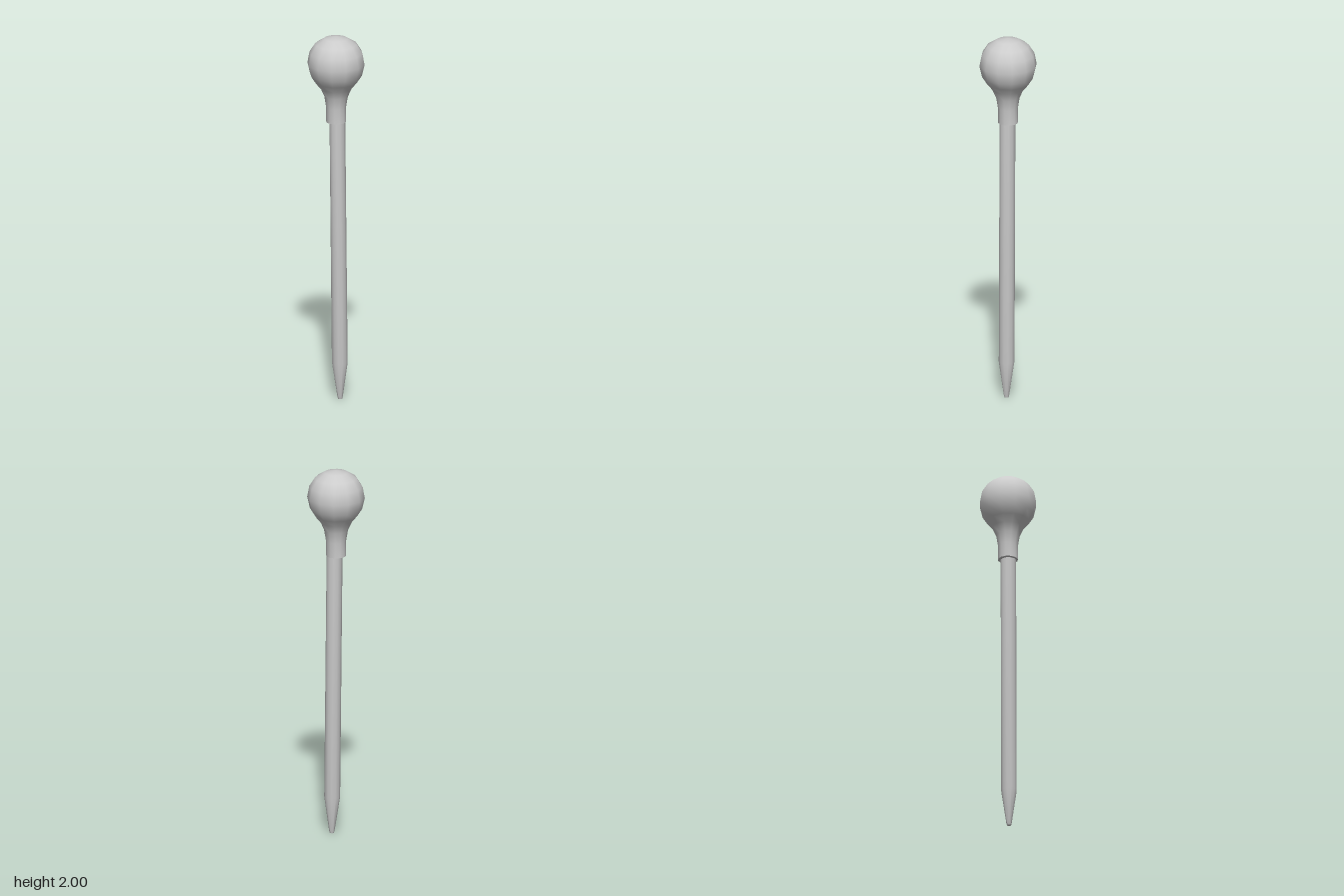
import * as THREE from 'three';
import { toCreasedNormals } from 'three/addons/utils/BufferGeometryUtils.js';

const SIDES = 12;

// Turned part from [radius, height] pairs listed bottom to top
function turned(name, profile, crease) {
  const points = profile.map(([r, y]) => new THREE.Vector2(r, y));
  const geometry = toCreasedNormals(new THREE.LatheGeometry(points, SIDES), crease);
  const mesh = new THREE.Mesh(geometry, new THREE.MeshStandardMaterial({ color: 0xcccccc }));
  mesh.name = name;
  return mesh;
}

export function createModel() {
  const group = new THREE.Group();
  group.name = 'ballHeadedPin';

  // Ball head flaring out of a straight collar
  const head = turned('head', [
    [0, 1.53], [0.053, 1.53], [0.053, 1.61], [0.063, 1.67], [0.083, 1.715],
    [0.112, 1.75], [0.138, 1.79], [0.152, 1.85], [0.141, 1.91],
    [0.111, 1.957], [0.062, 1.988], [0, 2],
  ], 0.9);
  group.add(head);

  // Slim shaft with a tapered blunt tip, leaning slightly inside the collar
  const shaft = turned('shaft', [
    [0, 0], [0.011, 0], [0.015, 0.015], [0.042, 0.2], [0.042, 1.6], [0, 1.6],
  ], 0.6);
  shaft.position.set(0.022, 0.003, 0);
  shaft.rotation.z = 0.0095;
  group.add(shaft);

  return group;
}
